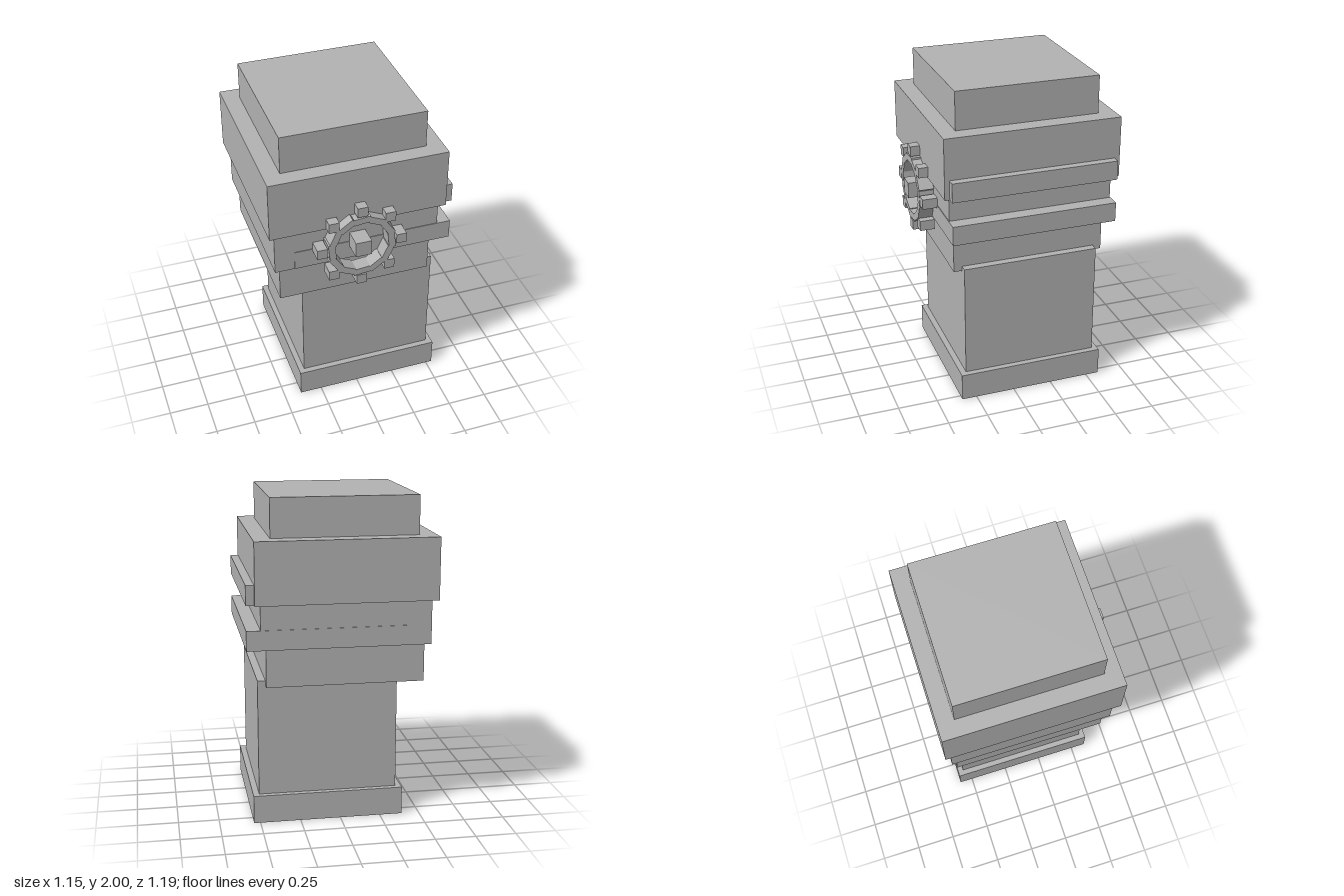
import * as THREE from 'three';

export function createModel() {
  const model = new THREE.Group();
  model.name = 'steppedTower';
  const stone = new THREE.MeshStandardMaterial({ color: 0xb2b2b2 });
  stone.name = 'grey stone';

  // Box given by its limits on each axis
  const block = (name, [x0, x1], [y0, y1], [z0, z1]) => {
    const mesh = new THREE.Mesh(new THREE.BoxGeometry(x1 - x0, y1 - y0, z1 - z0), stone);
    mesh.name = name;
    mesh.position.set((x0 + x1) / 2, (y0 + y1) / 2, (z0 + z1) / 2);
    model.add(mesh);
  };

  // Base and shaft
  block('base', [-0.39, 0.54], [0, 0.175], [-0.585, 0.345]);
  block('shaft', [-0.355, 0.503], [0.175, 0.9], [-0.55, 0.308]);

  // Tiers widening upwards, then the cap
  block('lowerTier', [-0.51, 0.455], [0.87, 1.107], [-0.603, 0.36]);
  block('middleTier', [-0.545, 0.488], [1.107, 1.382], [-0.636, 0.393]);
  block('upperTier', [-0.58, 0.523], [1.382, 1.762], [-0.673, 0.427]);
  block('cap', [-0.476, 0.418], [1.762, 2], [-0.569, 0.325]);

  // Bands standing out on the left side
  block('lowerBand', [-0.423, 0.573], [1.108, 1.23], [-0.64, 0.397]);
  block('upperBand', [-0.423, 0.573], [1.383, 1.504], [-0.64, 0.397]);

  // Wheel ornament on the front
  const wheel = new THREE.Group();
  wheel.name = 'wheel';
  wheel.position.set(-0.029, 1.247, 0.441);
  model.add(wheel);

  const addWheelBox = (name, w, h, d, radius, angle, turn, z = 0) => {
    const mesh = new THREE.Mesh(new THREE.BoxGeometry(w, h, d), stone);
    mesh.name = name;
    mesh.position.set(radius * Math.cos(angle), radius * Math.sin(angle), z);
    mesh.rotation.z = turn;
    wheel.add(mesh);
  };

  // Rim of slightly tilted bricks
  for (let i = 0; i < 12; i++) {
    const a = (i / 12) * Math.PI * 2;
    addWheelBox('rimBrick', 0.042, 0.105, 0.092, 0.187, a, a + 0.1);
  }
  // Upright knobs around the rim
  for (let i = 0; i < 8; i++) {
    addWheelBox('knob', 0.064, 0.064, 0.092, 0.249, (i / 8) * Math.PI * 2, 0);
  }
  addWheelBox('hub', 0.1, 0.1, 0.118, 0, 0, 0, 0.013);

  return model;
}
